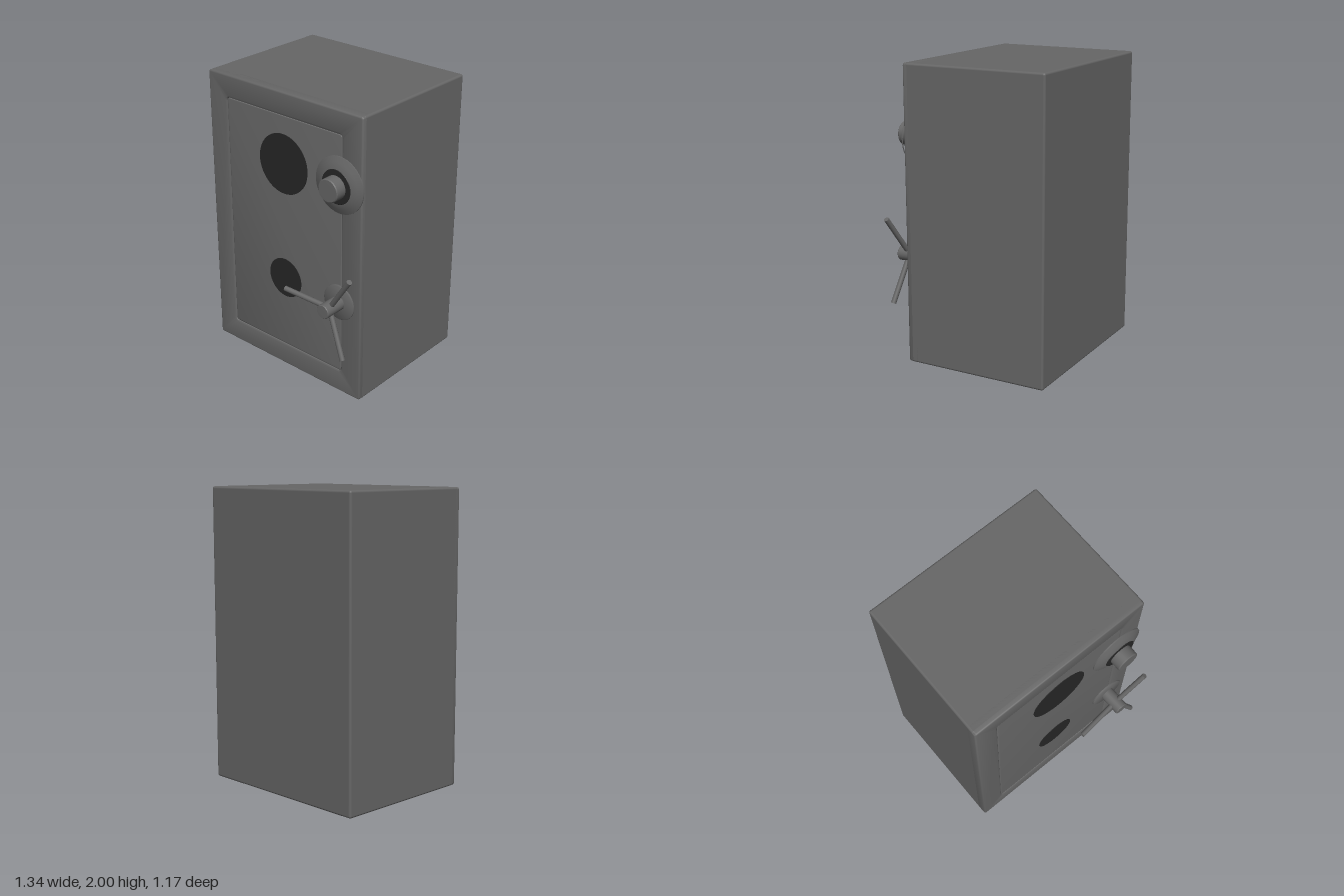
import * as THREE from 'three';
import { RoundedBoxGeometry } from 'three/addons/geometries/RoundedBoxGeometry.js';
import { toCreasedNormals } from 'three/addons/utils/BufferGeometryUtils.js';

const steel = new THREE.MeshStandardMaterial({ color: 0x666666 });
steel.name = 'grey steel';
const dark = new THREE.MeshStandardMaterial({ color: 0x262626 });
dark.name = 'dark steel';

function add(parent, name, geometry, material, x = 0, y = 0, z = 0) {
  const mesh = new THREE.Mesh(geometry, material);
  mesh.name = name;
  mesh.position.set(x, y, z);
  parent.add(mesh);
  return mesh;
}

function roundedRect(x0, y0, x1, y1, r, Type = THREE.Shape) {
  const s = new Type();
  s.absarc(x1 - r, y0 + r, r, -Math.PI / 2, 0);
  s.absarc(x1 - r, y1 - r, r, 0, Math.PI / 2);
  s.absarc(x0 + r, y1 - r, r, Math.PI / 2, Math.PI);
  s.absarc(x0 + r, y0 + r, r, Math.PI, Math.PI * 1.5);
  s.closePath();
  return s;
}

// Slab from z = back to z = front with softened edges inside the outline
function slab(shape, back, front, bevel) {
  const g = new THREE.ExtrudeGeometry(shape, {
    depth: front - back - 2 * bevel, curveSegments: 3, bevelEnabled: true,
    bevelSize: bevel, bevelThickness: bevel, bevelOffset: -bevel, bevelSegments: 3,
  });
  g.translate(0, 0, back + bevel);
  return toCreasedNormals(g, 0.7);
}

// Turned part whose axis points forward; profile is [radius, z] from back to front
function turned(profile, segments = 40) {
  const g = new THREE.LatheGeometry(profile.map(([r, z]) => new THREE.Vector2(r, z)), segments);
  g.rotateX(Math.PI / 2);
  return toCreasedNormals(g, 0.6);
}

export function createModel() {
  const safe = new THREE.Group();
  safe.name = 'safe';

  // Cabinet with a front frame around the door opening
  add(safe, 'cabinet', new RoundedBoxGeometry(1.3, 2, 0.99, 3, 0.015), steel, -0.02, 1, -0.09);
  const frame = roundedRect(-0.67, 0, 0.63, 2, 0.018);
  frame.holes.push(roundedRect(-0.508, 0.163, 0.468, 1.845, 0.02, THREE.Path));
  add(safe, 'doorFrame', slab(frame, 0.34, 0.422, 0.012), steel);

  // Door panel and its two dark round plates
  add(safe, 'door', slab(roundedRect(-0.508, 0.163, 0.468, 1.845, 0.02), 0.36, 0.418, 0.006), steel);
  add(safe, 'upperPlate', turned([[0.205, 0], [0.205, 0.005], [0, 0.005]], 48), dark, -0.018, 1.517, 0.417);
  add(safe, 'lowerPlate', turned([[0.14, 0], [0.14, 0.005], [0, 0.005]], 48), dark, -0.018, 0.69, 0.417);

  // Combination dial: sloping base, dark ring and knob
  const dial = new THREE.Group();
  dial.name = 'dial';
  dial.position.set(0.455, 1.517, 0.42);
  safe.add(dial);
  add(dial, 'dialBase', turned([[0.19, 0], [0.19, 0.008], [0.155, 0.023], [0.115, 0.038], [0, 0.038]]), steel);
  add(dial, 'dialRing', turned([[0.115, 0.038], [0.113, 0.041], [0.075, 0.042]]), dark);
  add(dial, 'dialKnob', turned([[0.078, 0.03], [0.078, 0.112], [0.072, 0.118], [0, 0.119]]), steel);

  // Three-spoke handle
  const handle = new THREE.Group();
  handle.name = 'handle';
  handle.position.set(0.455, 0.69, 0.42);
  safe.add(handle);
  add(handle, 'handlePlate', turned([[0.124, 0], [0.124, 0.008], [0.118, 0.012], [0, 0.013]]), steel);
  add(handle, 'handleHub', turned([[0.049, 0.005], [0.049, 0.162], [0.045, 0.167], [0, 0.168]], 24), steel);
  const up = new THREE.Vector3(0, 1, 0);
  for (const degrees of [175, 55, -65]) {
    const a = THREE.MathUtils.degToRad(degrees);
    const start = new THREE.Vector3(0, 0, 0.098);
    const end = new THREE.Vector3(Math.cos(a) * 0.345, Math.sin(a) * 0.345, 0.14);
    const along = end.clone().sub(start);
    const spoke = add(handle, 'spoke', new THREE.CylinderGeometry(0.018, 0.018, along.length(), 12), steel);
    spoke.position.copy(start).add(end).multiplyScalar(0.5);
    spoke.quaternion.setFromUnitVectors(up, along.normalize());
  }
  return safe;
}
